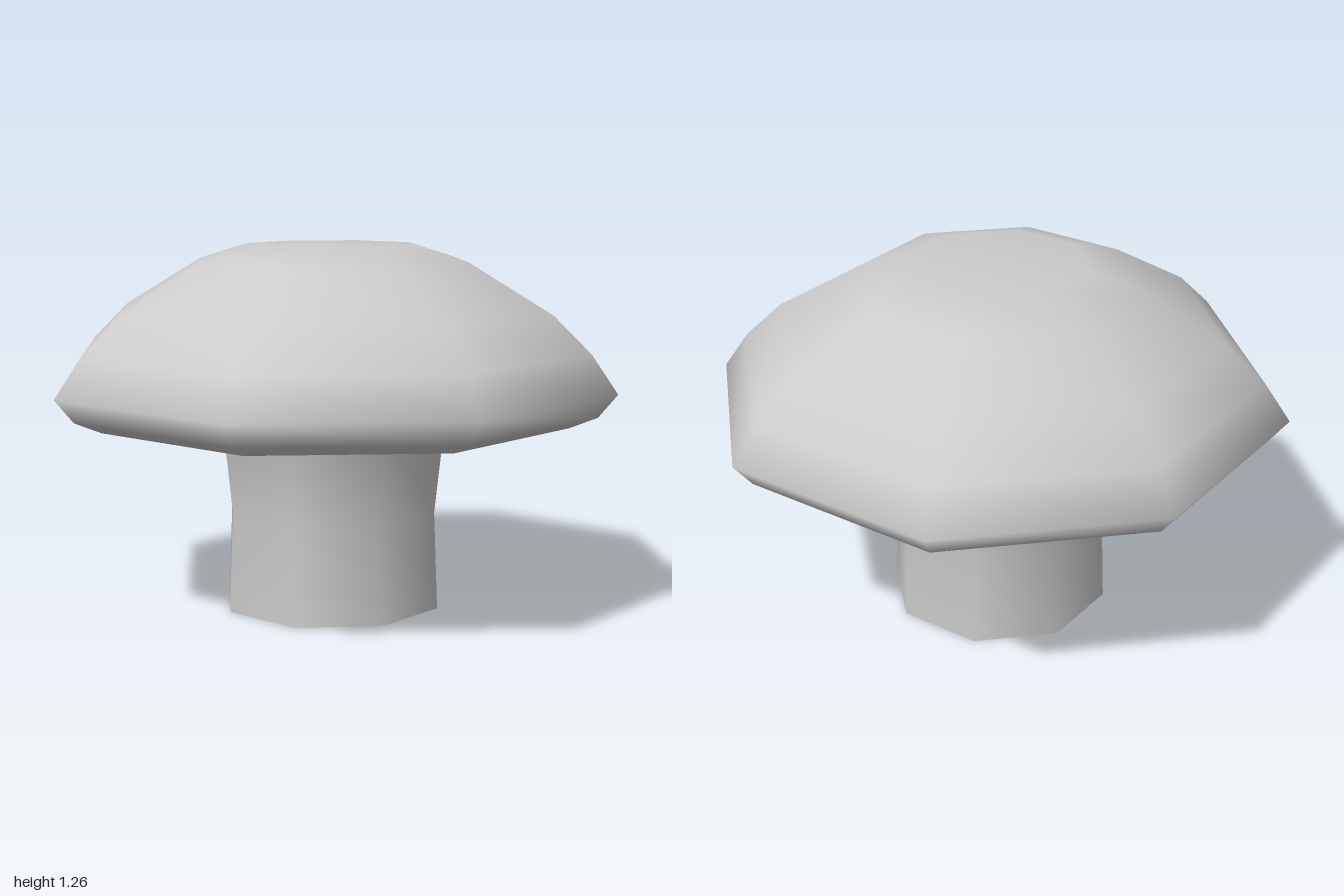
import * as THREE from 'three';

const SIDES = 8;

// Smooth-shaded eight-sided turned part from [radius, height] pairs
function turned(name, profile) {
  const points = profile.map(([r, y]) => new THREE.Vector2(r, y));
  const material = new THREE.MeshStandardMaterial({ color: 0xcccccc, side: THREE.DoubleSide });
  const mesh = new THREE.Mesh(new THREE.LatheGeometry(points, SIDES), material);
  mesh.name = name;
  return mesh;
}

export function createModel() {
  const group = new THREE.Group();
  group.name = 'mushroom';

  // Hollow stem, open at the foot, flaring into the hollow under the cap
  group.add(turned('stem', [
    [0.39, 0], [0.376, 0.34], [0.41, 0.65], [0.48, 0.75], [0.6, 0.79],
  ]));

  // Cap: underside, rolled lip, wide rim and flattened dome
  group.add(turned('cap', [
    [0.6, 0.79], [0.73, 0.75], [0.84, 0.66], [0.935, 0.7], [1, 0.78],
    [0.91, 0.91], [0.78, 1.035], [0.49, 1.205], [0.31, 1.26], [0, 1.26],
  ]));

  return group;
}
